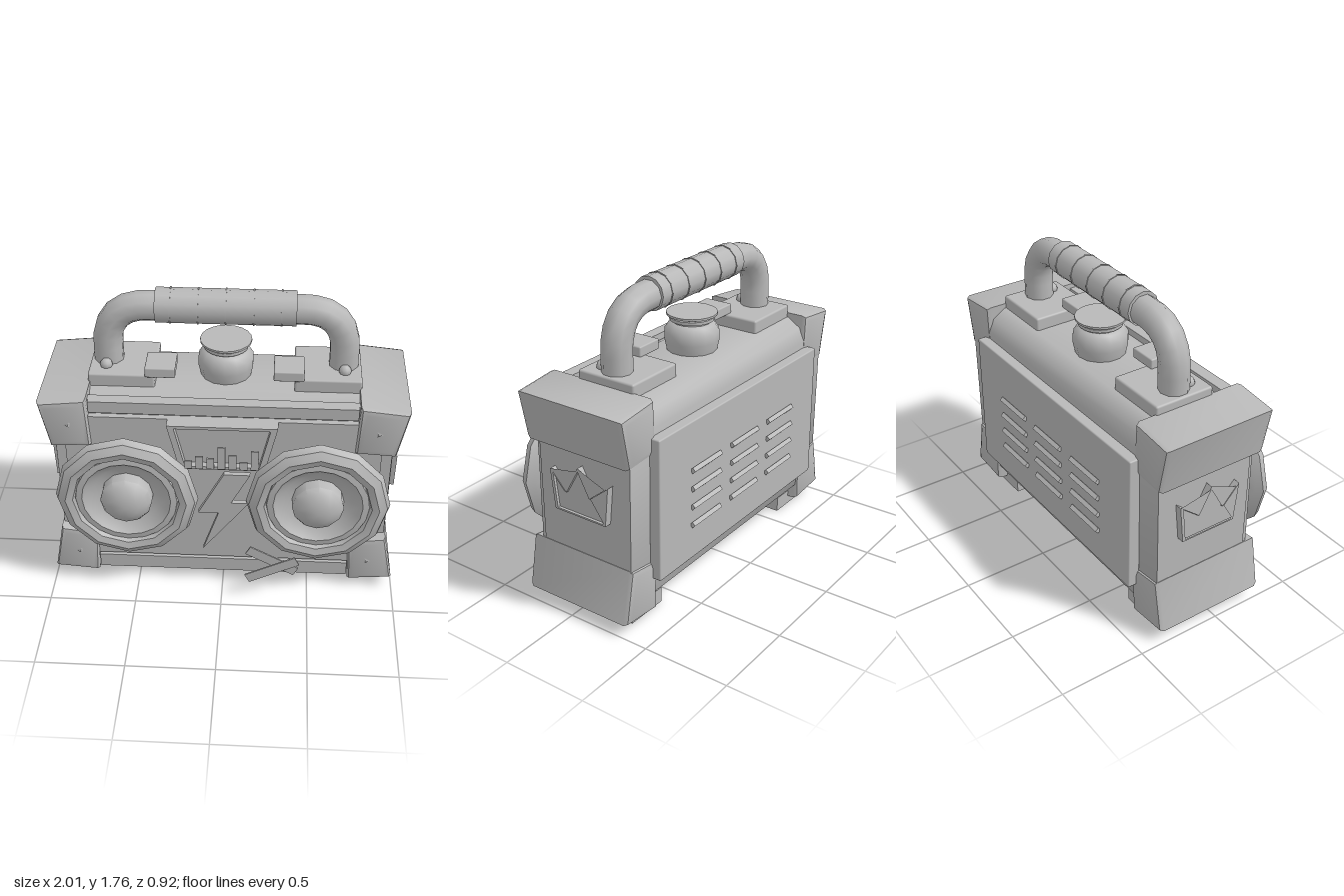
import * as THREE from 'three';
import { toCreasedNormals } from 'three/addons/utils/BufferGeometryUtils.js';
import { RoundedBoxGeometry } from 'three/addons/geometries/RoundedBoxGeometry.js';

const grey = new THREE.MeshStandardMaterial({ color: 0xb8b8b8 });
grey.name = 'plain grey';

export function createModel() {
  const model = new THREE.Group();
  model.name = 'portableStereo';

  const add = (name, geometry, x = 0, y = 0, z = 0, parent = model) => {
    const mesh = new THREE.Mesh(geometry, grey);
    mesh.name = name;
    mesh.position.set(x, y, z);
    parent.add(mesh);
    return mesh;
  };
  // Box given by its limits on each axis
  const box = (name, x0, x1, y0, y1, z0, z1, r = 0) => add(name,
    r ? new RoundedBoxGeometry(x1 - x0, y1 - y0, z1 - z0, 2, r) : new THREE.BoxGeometry(x1 - x0, y1 - y0, z1 - z0),
    (x0 + x1) / 2, (y0 + y1) / 2, (z0 + z1) / 2);
  const shapeOf = (pts) => new THREE.Shape(pts.map(([x, y]) => new THREE.Vector2(x, y)));
  const plate = (shape, depth) => new THREE.ExtrudeGeometry(shape, { depth, bevelEnabled: false });
  // Outline with an opening: the same points scaled about a centre
  const frameOf = (pts, k, cx, cy) => {
    const shape = shapeOf(pts);
    shape.holes.push(shapeOf(pts.map(([x, y]) => [cx + (x - cx) * k, cy + (y - cy) * k])));
    return shape;
  };

  // Body: rounded cross-section run from side to side
  const section = shapeOf([[-0.22, 0.14], [-0.16, 0.07], [0.28, 0.07], [0.36, 0.15],
    [0.37, 1.12], [0.34, 1.2], [0.26, 1.25], [-0.12, 1.25], [-0.2, 1.21], [-0.23, 1.15]]);
  const bodyGeo = toCreasedNormals(plate(section, 1.87).translate(0, 0, -0.935).rotateY(Math.PI / 2), 0.8);
  add('body', bodyGeo);
  box('frontLedge', -0.93, 0.93, 0.07, 1.25, 0.2, 0.245);
  box('frontPanel', -0.87, 0.87, 0.18, 1.16, 0.23, 0.28);
  box('bottomRail', -0.73, 0.73, 0.07, 0.16, 0.22, 0.28);
  box('topRail', -0.73, 0.73, 1.18, 1.25, 0.2, 0.27);

  // Corner guards, feet and handle mounts, mirrored
  const guardTop = [[0.76, 1.01], [0.92, 1.0], [0.965, 1.22], [0.77, 1.24]];
  const guardLow = [[0.77, 0.09], [0.955, 0.105], [0.91, 0.34], [0.76, 0.32]];
  for (const s of [-1, 1]) {
    for (const [name, pts, sy] of [['upperGuard', guardTop, 1.12], ['lowerGuard', guardLow, 0.21]]) {
      const p = pts.map(([x, y]) => [x * s, y]);
      const g = new THREE.ExtrudeGeometry(shapeOf(p), {
        depth: 0.63, bevelThickness: 0.03, bevelSize: 0.035, bevelSegments: 2 });
      add(name, toCreasedNormals(g, 0.7), 0, 0, -0.35);
      const stud = add('guardStud', new THREE.ConeGeometry(0.035, 0.02, 3), 0.84 * s, sy, 0.313);
      stud.rotation.set(Math.PI / 2, s * Math.PI / 2, 0);
    }
    box('foot', s * 0.74 - 0.13, s * 0.74 + 0.13, 0, 0.09, -0.31, 0.17);
    box('handleMount', s * 0.565 - 0.183, s * 0.565 + 0.183, 1.24, 1.325, -0.25, 0.11, 0.012);
    box('button', s * 0.35 - 0.083, s * 0.35 + 0.083, 1.32, 1.38, -0.05, 0.125, 0.008);
    add('mountBolt', new THREE.SphereGeometry(0.035, 10, 6), s * 0.655, 1.335, 0.02);
  }

  // Carrying handle
  const v = (x, y) => new THREE.Vector3(x, y, -0.07);
  const path = new THREE.CurvePath();
  path.add(new THREE.LineCurve3(v(-0.65, 1.28), v(-0.65, 1.46)));
  path.add(new THREE.QuadraticBezierCurve3(v(-0.65, 1.46), v(-0.63, 1.66), v(-0.42, 1.66)));
  path.add(new THREE.LineCurve3(v(-0.42, 1.66), v(0.42, 1.66)));
  path.add(new THREE.QuadraticBezierCurve3(v(0.42, 1.66), v(0.63, 1.66), v(0.65, 1.46)));
  path.add(new THREE.LineCurve3(v(0.65, 1.46), v(0.65, 1.28)));
  add('handle', new THREE.TubeGeometry(path, 28, 0.083, 10));
  const grip = (r, w) => new THREE.CylinderGeometry(r, r, w, 12).rotateZ(Math.PI / 2);
  add('grip', grip(0.096, 0.76), 0, 1.665, -0.07);
  for (let i = -2; i <= 2; i++) add('gripBand', grip(0.1, 0.008), i * 0.15, 1.665, -0.07);

  // Top dial
  const lathe = (pts, n) => new THREE.LatheGeometry(pts.map(([r, y]) => new THREE.Vector2(r, y)), n);
  add('dialBase', toCreasedNormals(lathe([[0, 1.24], [0.14, 1.24], [0.155, 1.31], [0.155, 1.36],
    [0.13, 1.4], [0.11, 1.41], [0.11, 1.455], [0, 1.455]], 14), 0.7), 0, 0, -0.075);
  add('dialRing', new THREE.CylinderGeometry(0.125, 0.125, 0.018, 20), 0, 1.43, -0.075);
  add('dialCap', new THREE.CylinderGeometry(0.143, 0.143, 0.012, 20), 0, 1.458, -0.075);

  // Speakers: faceted rim, hollow cone and domed centre
  for (const s of [-1, 1]) {
    const speaker = new THREE.Group();
    speaker.name = s > 0 ? 'leftSpeaker' : 'rightSpeaker';
    speaker.position.set(s * 0.535, 0.668, 0);
    model.add(speaker);
    const part = (name, pts, n) => add(name, toCreasedNormals(lathe(pts, n).rotateX(Math.PI / 2), 0.6), 0, 0, 0, speaker);
    part('speakerRim', [[0, 0.27], [0.3, 0.27], [0.37, 0.315], [0.402, 0.345], [0.385, 0.385],
      [0.34, 0.412], [0.3, 0.4], [0.285, 0.355], [0.26, 0.35]], 12);
    part('speakerCone', [[0.3, 0.35], [0.285, 0.38], [0.25, 0.385], [0.235, 0.37], [0.19, 0.335], [0.12, 0.315]], 20);
    part('speakerDome', [[0.145, 0.31], [0.145, 0.39], [0.125, 0.42], [0.075, 0.447], [0, 0.46]], 12);
  }

  // Display with frame and level bars
  const screen = [[-0.3, 1.16], [-0.235, 0.875], [0.235, 0.875], [0.3, 1.16]];
  add('displayBack', plate(shapeOf(screen), 0.03), 0, 0, 0.275);
  add('displayFrame', plate(frameOf(screen, 0.87, 0, 1.02), 0.04), 0, 0, 0.305);
  [0.05, 0.08, 0.07, 0.145, 0.095, 0.05, 0.125].forEach((h, i) => {
    const x = -0.18 + i * 0.06;
    box('levelBar', x - 0.021, x + 0.021, 0.925, 0.925 + h, 0.395, 0.405);
  });

  // Lightning bolt
  add('bolt', plate(shapeOf([[0.01, 0.845], [-0.135, 0.57], [-0.02, 0.57], [-0.11, 0.3],
    [0.15, 0.645], [0.05, 0.645], [0.155, 0.845]]), 0.03), 0, 0, 0.32);

  // Crossed sticking strips
  for (const [z, a] of [[0.35, -0.5], [0.425, 0.47]]) {
    add('strip', new THREE.BoxGeometry(0.32, 0.06, 0.009), 0.29, 0.22, z).rotation.z = a;
  }

  // Crown badges on both sides: thin plate with raised outline
  const crown = [[-0.126, 0.845], [-0.1, 0.62], [0.235, 0.62], [0.257, 0.845], [0.14, 0.75], [0.06, 0.9], [-0.03, 0.74]];
  for (const s of [-1, 1]) {
    const badge = new THREE.Group();
    badge.name = 'crownBadge';
    badge.scale.z = 1;
    model.add(badge);
    const pts = crown.map(([z, y]) => [z * s, y]);
    const turn = (g) => g.rotateY(s * Math.PI / 2);
    add('crownPlate', turn(plate(shapeOf(pts), 0.03).translate(0, 0, 0.93)), 0, 0, 0, badge);
    add('crownOutline', turn(plate(frameOf(pts, 0.9, 0.065 * s, 0.715), 0.018).translate(0, 0, 0.958)), 0, 0, 0, badge);
  }

  // Back cover with vent slats
  box('backCover', -0.775, 0.775, 0.26, 1.08, -0.43, -0.36, 0.008);
  for (const x of [-0.37, 0, 0.37]) {
    for (let j = 0; j < 4; j++) {
      const slat = new THREE.CylinderGeometry(0.018, 0.018, 0.26, 4).rotateZ(Math.PI / 2);
      add('ventSlat', toCreasedNormals(slat, 0.5), x, 0.473 + j * 0.109, -0.438);
    }
  }
  return model;
}
